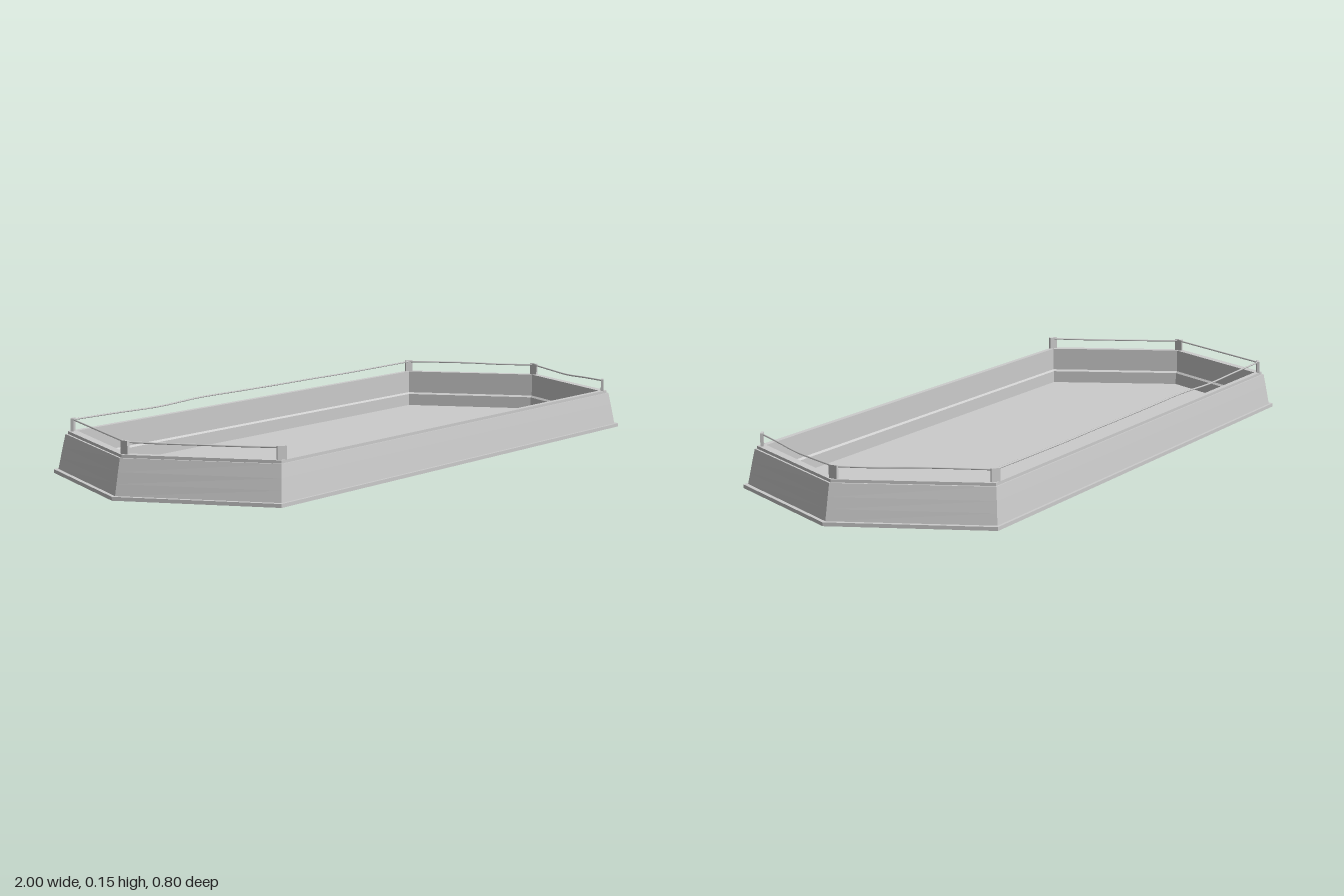
import * as THREE from 'three';

const material = new THREE.MeshStandardMaterial({ color: 0xcccccc, flatShading: true, side: THREE.DoubleSide });
const smooth = new THREE.MeshStandardMaterial({ color: 0xcccccc });

// Six corners of the hexagonal plan, inset by d, at height y
function ring(d, y) {
  const tip = 1 - 1.5 * d, cx = 0.81 - 1.25 * d, cz = 0.4 - d;
  return [[tip, 0], [cx, cz], [-cx, cz], [-tip, 0], [-cx, -cz], [cx, -cz]]
    .map(([x, z]) => new THREE.Vector3(x, y, z));
}

// Sweep an [inset, height] profile around the hexagon
function hexSweep(profile) {
  const points = [];
  for (let k = 0; k < profile.length - 1; k++) {
    const low = ring(...profile[k]), high = ring(...profile[k + 1]);
    for (let i = 0; i < 6; i++) {
      const j = (i + 1) % 6;
      points.push(low[i], high[i], low[j], low[j], high[i], high[j]);
    }
  }
  const geometry = new THREE.BufferGeometry().setFromPoints(points);
  geometry.computeVertexNormals();
  return geometry;
}

function hexPlate(d, y) {
  const corners = ring(d, y), center = new THREE.Vector3(0, y, 0);
  const points = corners.flatMap((p, i) => [center, corners[(i + 1) % 6], p]);
  const geometry = new THREE.BufferGeometry().setFromPoints(points);
  geometry.computeVertexNormals();
  return geometry;
}

export function createModel() {
  const group = new THREE.Group();
  const add = (name, geometry, mat = material) => {
    const mesh = new THREE.Mesh(geometry, mat);
    mesh.name = name;
    group.add(mesh);
    return mesh;
  };

  // Hollow wall: foot lip, flared outside, raised rim, stepped inside
  add('wall', hexSweep([
    [0, 0], [0, 0.01], [0.008, 0.01], [0.012, 0.04], [0.016, 0.07], [0.021, 0.105],
    [0.025, 0.105], [0.025, 0.113], [0.041, 0.113], [0.041, 0.045], [0.046, 0.04], [0.046, 0.004],
  ]));
  add('floor', hexPlate(0.046, 0.004));

  // Flat posts on the rim, each turned to face out from its corner
  const feet = ring(0.034, 0.113);
  const turns = [90, 32, -32, -90, -148, 148];
  feet.forEach((p, i) => {
    const turn = THREE.MathUtils.degToRad(turns[i]);
    const post = add('post', new THREE.BoxGeometry(0.024, 0.036, 0.008));
    post.position.set(p.x, 0.13, p.z);
    post.rotation.y = turn;
  });

  // Thin, slightly sagging ropes; the front long side stays open
  const ropes = [
    { from: 0, to: 1, dips: [0, -0.004, -0.007, -0.003, 0] },
    { from: 2, to: 3, dips: [0, -0.001, -0.001, -0.001, 0] },
    { from: 3, to: 4, dips: [0, 0, 0, 0, 0] },
    { from: 4, to: 5, dips: [0, -0.002, -0.005, 0.001, 0, -0.001, -0.001, -0.002, -0.001, 0] },
    { from: 5, to: 0, dips: [0, 0.001, 0.001, -0.001, 0] },
  ];
  const tops = ring(0.034, 0.144);
  for (const { from, to, dips } of ropes) {
    const path = dips.map((dip, i) => {
      const p = tops[from].clone().lerp(tops[to], i / (dips.length - 1));
      p.y += dip;
      return p;
    });
    add('rope', new THREE.TubeGeometry(new THREE.CatmullRomCurve3(path), 32, 0.0025, 6), smooth);
  }
  return group;
}
